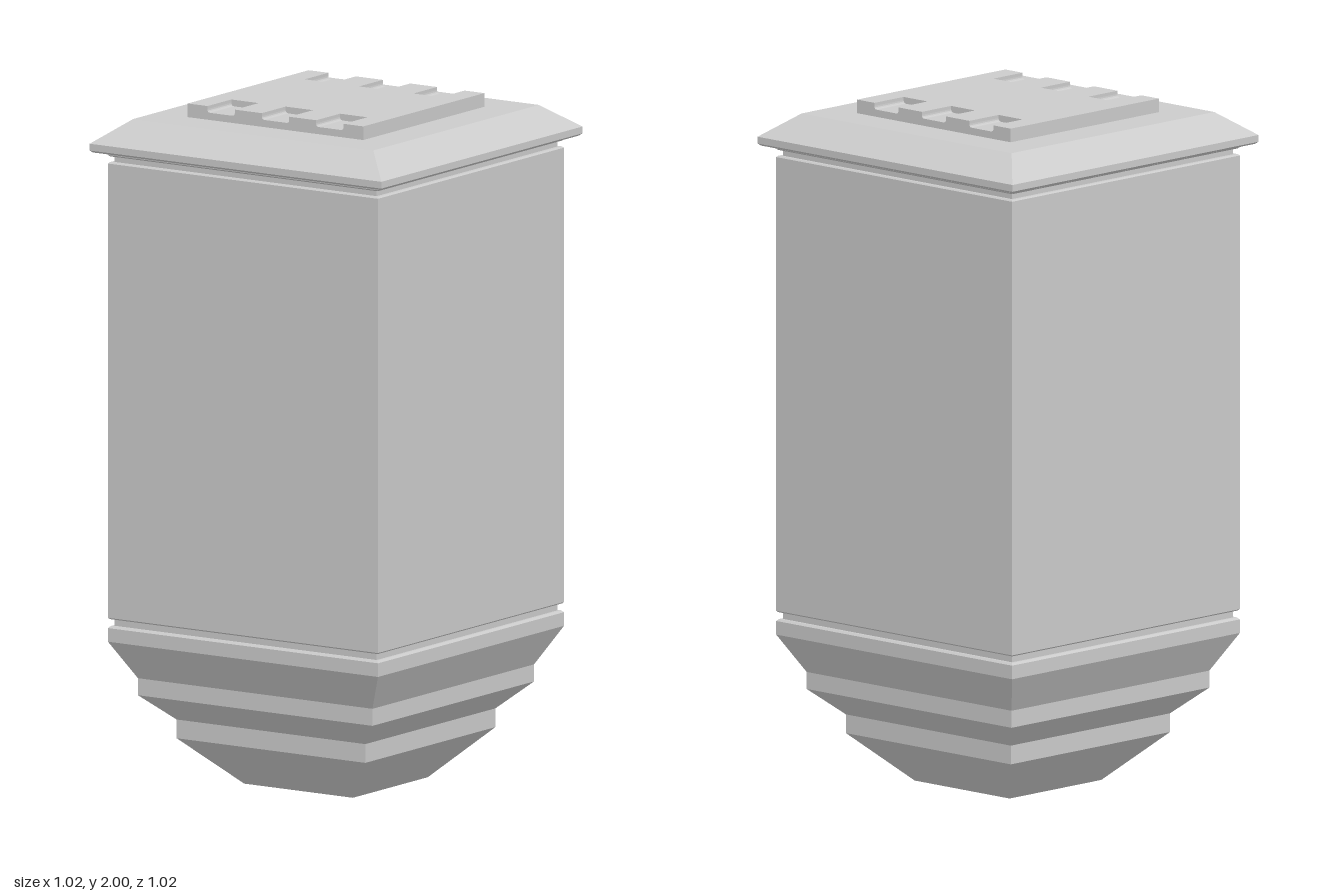
import * as THREE from 'three';

const material = new THREE.MeshStandardMaterial({ color: 0xcccccc, flatShading: true });

// Square tapering solid from [half width, height] pairs, listed bottom to top
function squareLoft(name, profile) {
  const rows = [[0, profile[0][1]], ...profile, [0, profile[profile.length - 1][1]]];
  const points = rows.map(([half, y]) => new THREE.Vector2(half * Math.SQRT2, y));
  const geometry = new THREE.LatheGeometry(points, 4, Math.PI / 4).toNonIndexed();
  geometry.computeVertexNormals();
  const mesh = new THREE.Mesh(geometry, material);
  mesh.name = name;
  return mesh;
}

// Strip of the top plate with three round-cornered notches along its edge
function notchedStrip(half, bottom, top, floor, depth) {
  const s = new THREE.Shape();
  const w = 0.048, r = 0.01;
  s.moveTo(-half, bottom);
  s.lineTo(half, bottom);
  s.lineTo(half, top);
  for (const x of [0.19, 0, -0.19]) {
    s.lineTo(x + w, top);
    s.lineTo(x + w, floor + r);
    s.quadraticCurveTo(x + w, floor, x + w - r, floor);
    s.lineTo(x - w + r, floor);
    s.quadraticCurveTo(x - w, floor, x - w, floor + r);
    s.lineTo(x - w, top);
  }
  s.lineTo(-half, top);
  s.closePath();
  return new THREE.ExtrudeGeometry(s, { depth, bevelEnabled: false, curveSegments: 4 });
}

export function createModel() {
  const model = new THREE.Group();
  model.name = 'squareCapsule';

  // Stepped foot tapering to a small flat base
  model.add(squareLoft('steppedBase', [
    [0.19, 0], [0.33, 0.14], [0.33, 0.195], [0.41, 0.27],
    [0.41, 0.32], [0.472, 0.43], [0.472, 0.47], [0.466, 0.476],
  ]));

  // Recessed necks that form the grooves below and above the body
  model.add(squareLoft('lowerGroove', [[0.458, 0.47], [0.458, 0.505]]));
  model.add(squareLoft('upperGroove', [[0.458, 1.83], [0.458, 1.87]]));

  // Tall plain body with slightly eased rims
  model.add(squareLoft('body', [[0.468, 0.496], [0.472, 0.5], [0.472, 1.832], [0.468, 1.836]]));

  // Thin collar under the lid
  model.add(squareLoft('collar', [[0.468, 1.853], [0.472, 1.857], [0.472, 1.868]]));

  // Overhanging lid with sloped sides
  model.add(squareLoft('lid', [
    [0.503, 1.866], [0.51, 1.872], [0.51, 1.892], [0.42, 1.96],
  ]));

  // Raised plate with notches along the front and back edges
  const plate = new THREE.Group();
  plate.name = 'topPlate';
  const half = 0.307, inner = 0.186, bottom = 1.955, top = 2;
  const middle = new THREE.Mesh(new THREE.BoxGeometry(2 * half, top - bottom, 2 * inner), material);
  middle.name = 'plateMiddle';
  middle.position.y = (top + bottom) / 2;
  plate.add(middle);
  const strip = notchedStrip(half, bottom, top, 1.981, half - inner);
  for (const [name, turn] of [['frontNotchedStrip', 0], ['backNotchedStrip', Math.PI]]) {
    const mesh = new THREE.Mesh(strip, material);
    mesh.name = name;
    mesh.rotation.y = turn;
    mesh.position.z = turn ? -inner : inner;
    plate.add(mesh);
  }
  model.add(plate);

  return model;
}
